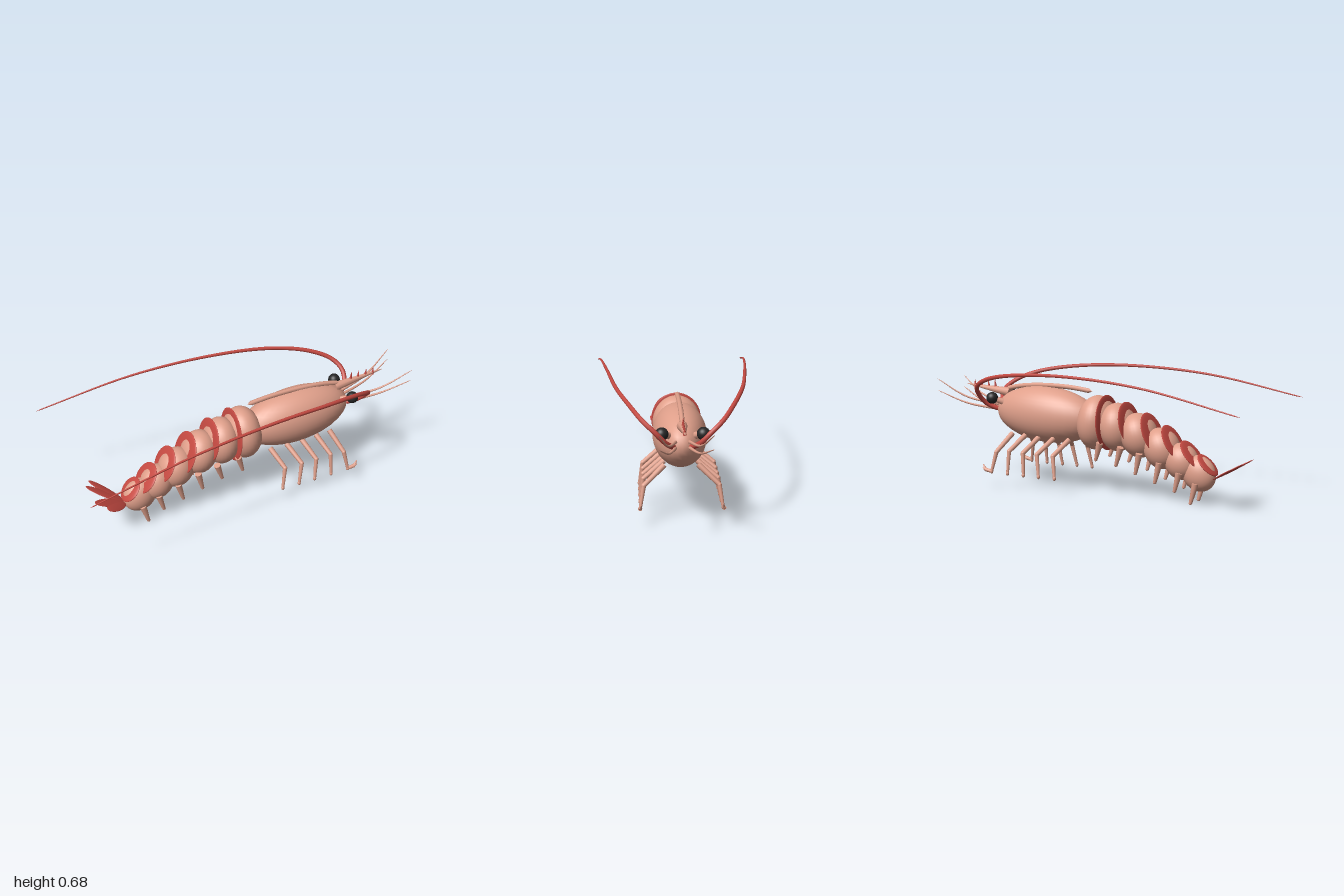
import * as THREE from 'three';

const shell = new THREE.MeshStandardMaterial({ color: 0xdf9f8a });
shell.name = 'pinkShell';
const red = new THREE.MeshStandardMaterial({ color: 0xc54a42 });
red.name = 'redTrim';
const black = new THREE.MeshStandardMaterial({ color: 0x262626 });
black.name = 'eyeBlack';

const V = (p) => new THREE.Vector3(...p);

export function createModel() {
  const model = new THREE.Group();
  model.name = 'shrimp';

  function add(name, geometry, material, parent = model) {
    const mesh = new THREE.Mesh(geometry, material);
    mesh.name = name;
    parent.add(mesh);
    return mesh;
  }

  function ellipsoid(name, center, size, tilt, material, parent = model) {
    const mesh = add(name, new THREE.SphereGeometry(1, 32, 20), material, parent);
    mesh.position.set(...center);
    mesh.scale.set(...size);
    mesh.rotation.z = tilt;
    return mesh;
  }

  // Straight tapered limb from a to b
  function limb(name, a, b, r0, r1, material, parent = model) {
    const start = V(a), dir = V(b).sub(start);
    const mesh = add(name, new THREE.CylinderGeometry(r1, r0, dir.length(), 10), material, parent);
    mesh.position.copy(start).addScaledVector(dir, 0.5);
    mesh.quaternion.setFromUnitVectors(new THREE.Vector3(0, 1, 0), dir.normalize());
    return mesh;
  }

  // Curved tube tapering from r0 to r1, closed at both ends
  function taperTube(name, points, r0, r1, segments, material, parent = model) {
    const curve = new THREE.CatmullRomCurve3(points.map(V));
    const sides = 8;
    const geometry = new THREE.TubeGeometry(curve, segments, 1, sides);
    const pos = geometry.attributes.position;
    const c = new THREE.Vector3(), v = new THREE.Vector3();
    for (let i = 0; i <= segments; i++) {
      const t = i / segments;
      const r = i === 0 || i === segments ? 0.0005 : r0 + (r1 - r0) * t;
      curve.getPointAt(t, c);
      for (let j = 0; j <= sides; j++) {
        const k = i * (sides + 1) + j;
        v.fromBufferAttribute(pos, k).sub(c).multiplyScalar(r).add(c);
        pos.setXYZ(k, v.x, v.y, v.z);
      }
    }
    return add(name, geometry, material, parent);
  }

  // Carapace with its top ridge
  ellipsoid('carapace', [0.33, 0.41, 0], [0.325, 0.157, 0.14], 0.06, shell);
  taperTube('dorsalRidge', [[0.04, 0.555, 0], [0.18, 0.57, 0], [0.35, 0.573, 0], [0.5, 0.562, 0], [0.61, 0.54, 0]],
    0.013, 0.013, 24, shell);

  // Rostrum spike and its teeth
  limb('rostrum', [0.58, 0.52, 0], [0.88, 0.556, 0], 0.027, 0.002, shell);
  for (let i = 0; i < 4; i++) {
    const x = 0.68 + i * 0.047;
    limb('rostrumTooth', [x, 0.54, 0], [x + 0.005, 0.587 - i * 0.002, 0], 0.009, 0.001, red);
  }

  // Abdomen segments: x, y, half length, half height, half width, tilt
  const segments = [
    [0.01, 0.386, 0.105, 0.15, 0.132, 0.06],
    [-0.12, 0.37, 0.1, 0.132, 0.12, -0.1],
    [-0.25, 0.335, 0.1, 0.122, 0.112, -0.3],
    [-0.385, 0.275, 0.098, 0.113, 0.1, -0.4],
    [-0.5, 0.215, 0.092, 0.1, 0.085, -0.55],
    [-0.6, 0.16, 0.09, 0.1, 0.07, -0.7],
  ];
  segments.forEach(([x, y, a, b, c, tilt]) =>
    ellipsoid('abdomenSegment', [x, y, 0], [a, b, c], tilt, shell));

  // Red bands: x, y, radius, half width, tilt
  const bands = [
    [-0.055, 0.39, 0.151, 0.137, -0.07],
    [-0.19, 0.393, 0.12, 0.123, -0.23],
    [-0.33, 0.35, 0.118, 0.117, -0.39],
    [-0.45, 0.313, 0.101, 0.102, -0.51],
    [-0.56, 0.257, 0.088, 0.09, -0.67],
    [-0.65, 0.208, 0.073, 0.072, -0.76],
  ];
  bands.forEach(([x, y, r, w, tilt]) =>
    ellipsoid('segmentBand', [x, y, 0], [0.012, r, w], tilt, red));

  // Tail fan: flat blades spread about the tail tip, in a tilted plane
  const fan = new THREE.Group();
  fan.name = 'tailFan';
  fan.position.set(-0.69, 0.138, 0);
  fan.rotation.z = -0.53;
  model.add(fan);
  [[-0.74, 0.225], [-0.36, 0.225], [0.36, 0.225], [0.7, 0.19]].forEach(([angle, length]) => {
    const blade = ellipsoid('tailBlade',
      [-Math.cos(angle) * length / 2, 0, Math.sin(angle) * length / 2],
      [length / 2, 0.005, 0.036], 0, red, fan);
    blade.rotation.y = angle;
  });

  // Walking legs: hip x, hip y, knee x, knee y, foot x, foot y
  const legs = [
    [0.14, 0.29, 0.18, 0.212, 0.16, 0.093],
    [0.24, 0.29, 0.283, 0.212, 0.262, 0.093],
    [0.335, 0.29, 0.374, 0.212, 0.36, 0.093],
    [0.425, 0.295, 0.465, 0.215, 0.465, 0.093],
    [0.51, 0.3, 0.55, 0.205, 0.572, 0.095],
  ];
  // Swimming legs: top x, top y, tip x, tip y, top z, tip z
  const swimmers = [
    [-0.055, 0.29, -0.025, 0.19, 0.088, 0.08],
    [-0.18, 0.275, -0.147, 0.17, 0.085, 0.075],
    [-0.29, 0.25, -0.262, 0.135, 0.08, 0.07],
    [-0.405, 0.21, -0.375, 0.097, 0.073, 0.065],
    [-0.515, 0.165, -0.487, 0.06, 0.064, 0.058],
    [-0.605, 0.115, -0.577, 0.004, 0.054, 0.052],
  ];

  for (const s of [1, -1]) {
    // Eye on a short stalk
    limb('eyeStalk', [0.57, 0.465, s * 0.055], [0.632, 0.493, s * 0.095], 0.02, 0.016, shell);
    ellipsoid('eye', [0.635, 0.495, s * 0.102], [0.033, 0.033, 0.033], 0, black);

    // Long sweeping antenna
    taperTube('antenna', [[0.62, 0.42, s * 0.03], [0.69, 0.46, s * 0.08], [0.707, 0.52, s * 0.135],
      [0.67, 0.57, s * 0.195], [0.56, 0.618, s * 0.255], [0.35, 0.655, s * 0.32], [0, 0.67, s * 0.37],
      [-0.47, 0.638, s * 0.415], [-1, 0.537, s * 0.45]], 0.014, 0.003, 80, red);

    // Short paired feelers
    taperTube('upperFeeler', [[0.62, 0.452, s * 0.03], [0.83, 0.49, s * 0.078], [1, 0.588, s * 0.127]],
      0.009, 0.002, 20, shell);
    taperTube('lowerFeeler', [[0.62, 0.423, s * 0.03], [0.83, 0.453, s * 0.075], [1, 0.52, s * 0.125]],
      0.009, 0.002, 20, shell);

    legs.forEach(([hx, hy, kx, ky, fx, fy], i) => {
      const leg = new THREE.Group();
      leg.name = 'walkingLeg';
      model.add(leg);
      const knee = [kx, ky, s * 0.19], foot = [fx, fy, s * 0.208];
      limb('upperLeg', [hx, hy, s * 0.085], knee, 0.015, 0.012, shell, leg);
      ellipsoid('knee', knee, [0.012, 0.012, 0.012], 0, shell, leg);
      limb('lowerLeg', knee, foot, 0.012, 0.008, shell, leg);
      ellipsoid('foot', foot, [0.009, 0.013, 0.009], 0, shell, leg);
      // Front pair ends in a small forward claw
      if (i === 4) {
        const palm = [0.612, 0.103, s * 0.21];
        limb('clawPalm', foot, palm, 0.009, 0.011, shell, leg);
        limb('upperFinger', palm, [0.632, 0.13, s * 0.203], 0.01, 0.002, shell, leg);
        limb('lowerFinger', palm, [0.628, 0.112, s * 0.215], 0.008, 0.002, shell, leg);
      }
    });

    swimmers.forEach(([x0, y0, x1, y1, z0, z1]) => {
      limb('swimmingLeg', [x0, y0, s * z0], [x1, y1, s * z1], 0.019, 0.009, shell);
      ellipsoid('swimmingLegTip', [x1, y1 + 0.004, s * z1], [0.009, 0.009, 0.009], 0, shell);
    });
  }

  return model;
}
